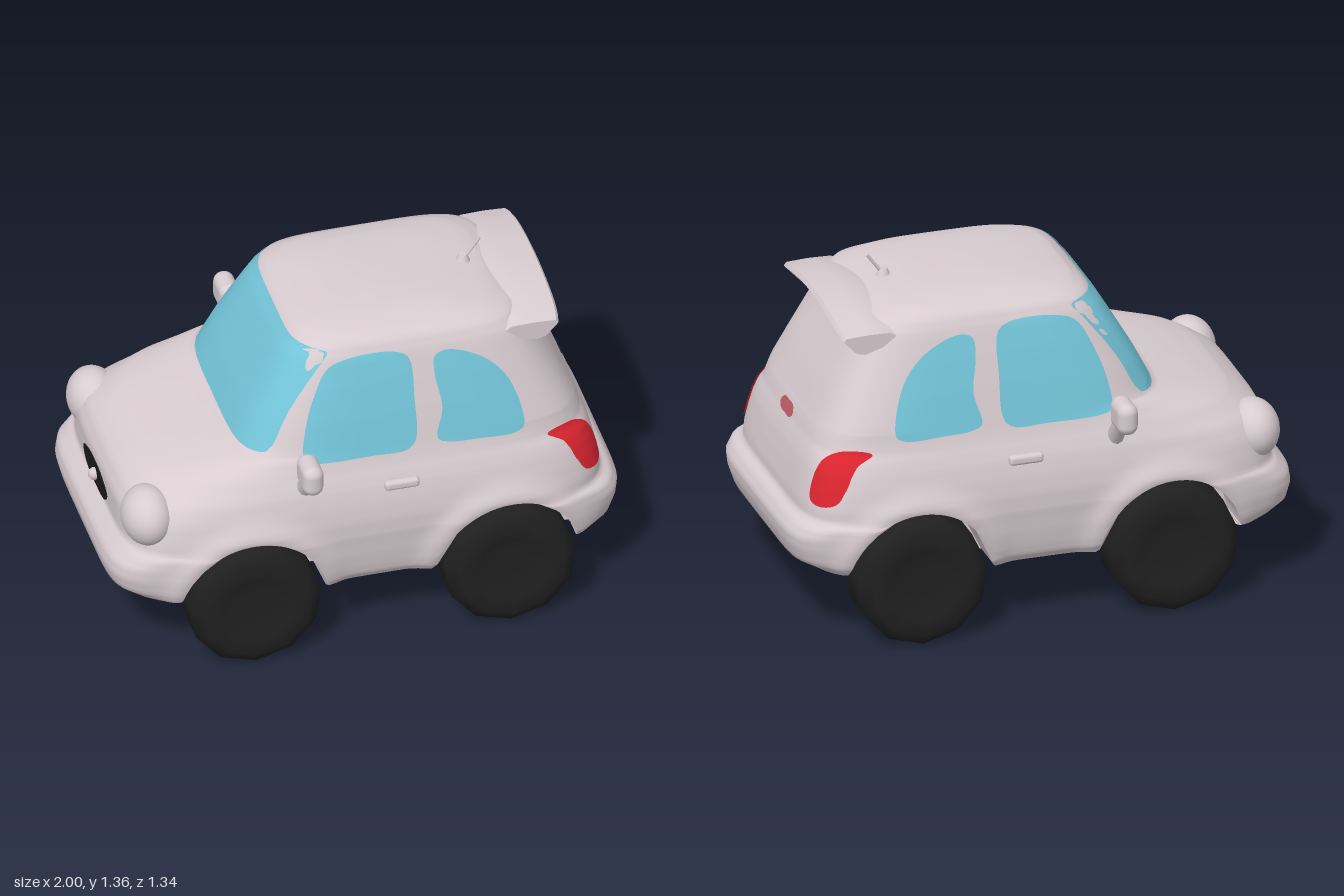
import * as THREE from 'three';
import { toCreasedNormals } from 'three/addons/utils/BufferGeometryUtils.js';
import { RoundedBoxGeometry } from 'three/addons/geometries/RoundedBoxGeometry.js';

const mat = (name, color, side = THREE.FrontSide) => new THREE.MeshStandardMaterial({ name, color, side });

// Horizontal slices of the shell: y, front x, rear x, half width, front and rear squareness
const SLICES = [
  [0.26, -0.80, 0.80, 0.51, 6, 6], [0.29, -0.93, 0.90, 0.53, 7, 7],
  [0.33, -0.985, 0.97, 0.54, 7, 7], [0.39, -1.0, 0.99, 0.55, 7, 7],
  [0.44, -0.99, 0.995, 0.555, 7, 7], [0.48, -0.95, 0.97, 0.56, 7, 7],
  [0.50, -0.93, 0.935, 0.56, 6, 6], [0.55, -0.93, 0.93, 0.56, 5.5, 6],
  [0.62, -0.93, 0.915, 0.55, 5, 6], [0.68, -0.90, 0.90, 0.535, 4.5, 6],
  [0.72, -0.85, 0.885, 0.52, 4, 6], [0.755, -0.79, 0.87, 0.505, 4, 5.5],
  [0.785, -0.69, 0.86, 0.495, 4, 5.5], [0.81, -0.58, 0.85, 0.488, 4.5, 5.5],
  [0.83, -0.475, 0.84, 0.483, 5, 5.5], [0.95, -0.415, 0.785, 0.455, 5, 5],
  [1.08, -0.34, 0.715, 0.42, 5, 5], [1.18, -0.28, 0.665, 0.39, 5, 5],
  [1.23, -0.24, 0.63, 0.365, 5, 4.5], [1.26, -0.19, 0.55, 0.32, 4, 4],
  [1.28, -0.06, 0.40, 0.24, 3.5, 3.5], [1.29, 0.08, 0.20, 0.10, 3, 3],
];
const WHEELS = [-0.47, 0.52], HUB_Y = 0.255, ARCH = 0.275;

function slice(y) {
  let i = 0;
  while (i < SLICES.length - 2 && y > SLICES[i + 1][0]) i++;
  const t = (y - SLICES[i][0]) / (SLICES[i + 1][0] - SLICES[i][0]);
  const [, xf, xr, w, nf, nr] = SLICES[i].map((v, k) => v + (SLICES[i + 1][k] - v) * t);
  return { c: (xf + xr) / 2, a: (xr - xf) / 2, w, nf, nr };
}
// Half width at (x, y), and end position at (z, y)
function widthAt(x, y) {
  const s = slice(y), q = (x - s.c) / s.a, n = q < 0 ? s.nf : s.nr;
  return s.w * Math.pow(Math.max(0, 1 - Math.abs(q) ** n), 1 / n);
}
function endAt(z, y, dir) {
  const s = slice(y), n = dir < 0 ? s.nf : s.nr;
  return s.c + dir * s.a * Math.pow(Math.max(0, 1 - Math.abs(z / s.w) ** n), 1 / n);
}
// Shell point for a direction (px, pz) on the unit square, lifted clear of the wheel arches
function shellPoint(px, pz, y) {
  let x, s, k;
  for (;; y += 0.002) {
    s = slice(y);
    const n = px < 0 ? s.nf : s.nr;
    k = Math.pow(Math.abs(px) ** n + Math.abs(pz) ** n, -1 / n);
    x = s.c + s.a * px * k;
    if (!WHEELS.some(w => Math.hypot(x - w, y - HUB_Y) < ARCH)) break;
  }
  let z = s.w * pz * k;
  for (const w of WHEELS) {
    const d = Math.hypot(x - w, y - HUB_Y);
    z *= 1 + 0.045 * Math.exp(-(((d - 0.295) / 0.05) ** 2));
  }
  return [x, y, z];
}

function gridGeometry(rows, closed = true) {
  const n = rows[0].length, index = [];
  for (let j = 0; j < rows.length - 1; j++)
    for (let i = 0; i < (closed ? n : n - 1); i++) {
      const a = j * n + i, b = j * n + (i + 1) % n;
      index.push(a, b, b + n, a, b + n, a + n);
    }
  const g = new THREE.BufferGeometry();
  g.setAttribute('position', new THREE.Float32BufferAttribute(rows.flat(2), 3));
  g.setIndex(index);
  g.computeVertexNormals();
  return g;
}

// Thin patch lying on the shell: rings shrinking from a smooth outline to its middle
function patchGeometry(outline, place) {
  const pts = new THREE.CatmullRomCurve3(outline.map(p => new THREE.Vector3(p[0], p[1], 0)), true).getPoints(64).slice(0, 64);
  const mid = pts.reduce((m, p) => m.add(p), new THREE.Vector3()).divideScalar(64);
  const rows = [];
  for (let r = 0; r <= 12; r++)
    rows.push(pts.map(p => { const q = p.clone().lerp(mid, r / 12); return place(q.x, q.y); }));
  return gridGeometry(rows);
}
const onSide = s => (x, y) => [x, y, s * (widthAt(x, y) + 0.007)];
const onEnd = d => (z, y) => [endAt(z, y, d) + d * 0.007, y, z];

export function createModel() {
  const car = new THREE.Group();
  car.name = 'car';
  const paint = mat('paint', 0xd8ccd0, THREE.DoubleSide);
  const glass = mat('glass', 0x74c6da, THREE.DoubleSide);
  const red = mat('tailLightRed', 0xdc2530, THREE.DoubleSide);
  const dullRed = mat('brakeLightRed', 0xc05c64, THREE.DoubleSide);
  const rubber = mat('rubber', 0x202020);
  const black = mat('grilleBlack', 0x1a1a1c, THREE.DoubleSide);
  const add = (name, geometry, material, x = 0, y = 0, z = 0) => {
    const m = new THREE.Mesh(geometry, material);
    m.name = name;
    m.position.set(x, y, z);
    car.add(m);
    return m;
  };

  // Shell
  const dirs = [], L = 64, E = 28;
  for (let i = 0; i < L; i++) dirs.push([-1 + 2 * i / L, 1]);
  for (let i = 0; i < E; i++) dirs.push([1, 1 - 2 * i / E]);
  for (let i = 0; i < L; i++) dirs.push([1 - 2 * i / L, -1]);
  for (let i = 0; i < E; i++) dirs.push([-1, -1 + 2 * i / E]);
  const rows = [];
  SLICES.forEach(([y], j) => {
    const next = SLICES[j + 1]?.[0];
    for (let k = 0; k < (next ? 3 : 1); k++)
      rows.push(dirs.map(d => shellPoint(d[0], d[1], next ? y + (next - y) * k / 3 : y)));
  });
  rows.push(dirs.map(() => [0.14, 1.291, 0]));
  add('bodyShell', gridGeometry(rows), paint);

  // Floor, inner walls and wheel wells
  const clampZ = z => Math.max(-0.37, Math.min(0.37, z));
  const under = [
    rows[0].map(p => [p[0], 0.26, 0]),
    rows[0].map(p => [p[0], 0.26, clampZ(p[2])]),
    rows[0].map(p => [p[0], p[1], clampZ(p[2])]),
    rows[0],
  ];
  add('underbody', toCreasedNormals(gridGeometry(under), 0.6), paint);

  // Wheels and axles
  const tyre = new THREE.LatheGeometry([[0, -0.1], [0.1, -0.09], [0.14, -0.112], [0.21, -0.112], [0.255, -0.085],
    [0.255, 0.085], [0.21, 0.112], [0.14, 0.114], [0.1, 0.092], [0, 0.1]].map(p => new THREE.Vector2(...p)), 11);
  tyre.rotateX(Math.PI / 2);
  const axle = new THREE.CylinderGeometry(0.06, 0.06, 0.8, 16).rotateX(Math.PI / 2);
  WHEELS.forEach((x, i) => {
    const end = i ? 'rear' : 'front';
    add(end + 'Axle', axle, paint, x, 0.25, 0);
    for (const s of [1, -1]) add(end + 'Wheel', tyre, rubber, x, HUB_Y, s * 0.4925).rotation.y = s > 0 ? 0 : Math.PI;
  });

  // Windscreen
  add('windscreen', patchGeometry([[-0.42, 0.845], [-0.4, 0.835], [-0.2, 0.832], [0, 0.832], [0.2, 0.832], [0.4, 0.835],
    [0.42, 0.845], [0.4, 1.0], [0.365, 1.2], [0.35, 1.218], [0.2, 1.225], [0, 1.226], [-0.2, 1.225], [-0.35, 1.218],
    [-0.365, 1.2], [-0.4, 1.0]], onEnd(-1)), glass);

  const frontWindow = [[-0.255, 0.82], [-0.245, 0.93], [-0.2, 1.06], [-0.14, 1.16], [-0.06, 1.19], [0.12, 1.19],
    [0.17, 1.16], [0.18, 1.0], [0.175, 0.84], [0.14, 0.805], [0, 0.802], [-0.22, 0.805]];
  const rearWindow = [[0.26, 0.83], [0.285, 0.95], [0.265, 1.08], [0.27, 1.15], [0.32, 1.168], [0.45, 1.12],
    [0.54, 1.03], [0.59, 0.9], [0.595, 0.82], [0.56, 0.8], [0.42, 0.803], [0.3, 0.81]];
  const stalk = new THREE.CylinderGeometry(0.03, 0.035, 0.12, 10);
  for (const s of [1, -1]) {
    // Side glass, handle and mirror
    add('frontSideWindow', patchGeometry(frontWindow, onSide(s)), glass);
    add('rearSideWindow', patchGeometry(rearWindow, onSide(s)), glass);
    add('doorHandle', new RoundedBoxGeometry(0.135, 0.04, 0.035, 3, 0.015), paint, 0.105, 0.69, s * 0.545);
    add('mirrorStalk', stalk, paint, -0.26, 0.755, s * 0.535).rotation.x = s * 0.65;
    add('mirror', new RoundedBoxGeometry(0.08, 0.125, 0.145, 4, 0.038), paint, -0.265, 0.838, s * 0.597);
    // Lamps
    add('headlight', new THREE.SphereGeometry(1, 28, 20), paint, -0.84, 0.615, s * 0.385).scale.set(0.1, 0.115, 0.125);
    add('tailLight', patchGeometry([[0.4, 0.74], [0.44, 0.77], [0.475, 0.765], [0.485, 0.72], [0.498, 0.63], [0.49, 0.575],
      [0.45, 0.56], [0.4, 0.575], [0.385, 0.65]].map(p => [p[0] * s, p[1]]), onEnd(1)), red);
  }

  // Small rear and front details
  add('centreBrakeLight', patchGeometry([[-0.07, 0.775], [-0.05, 0.8], [0, 0.803], [0.05, 0.8], [0.07, 0.775],
    [0.05, 0.755], [0, 0.753], [-0.05, 0.755]], onEnd(1)), dullRed);
  const plate = [[-0.17, 0.56], [0, 0.53], [0.17, 0.56], [0.175, 0.62], [0.12, 0.643], [0, 0.637], [-0.12, 0.643], [-0.175, 0.62]];
  add('numberPlateMount', patchGeometry(plate, onEnd(1)), paint);
  add('grille', patchGeometry([[-0.17, 0.565], [-0.1, 0.6], [0, 0.61], [0.1, 0.6], [0.17, 0.565], [0.13, 0.52],
    [0, 0.505], [-0.13, 0.52]], onEnd(-1)), black);
  add('grilleStud', new THREE.SphereGeometry(0.025, 12, 8), paint, -0.94, 0.55, 0);

  // Roof spoiler: one aerofoil section swept across and drooping to the tips
  const foil = [[0.54, 1.235], [0.57, 1.252], [0.67, 1.255], [0.765, 1.25], [0.775, 1.235], [0.72, 1.175], [0.68, 1.165], [0.6, 1.19]];
  const wing = [];
  for (let i = 0; i <= 20; i++) {
    const t = -1 + i / 10, e = 1 - 0.12 * t ** 8;
    wing.push(foil.map(([x, y]) => [0.67 + (x - 0.67) * e, 1.21 + (y - 1.21) * e - 0.05 * t * t, 0.365 * t]));
  }
  wing.unshift(wing[0].map(p => [0.67, 1.16, p[2]]));
  wing.push(wing.at(-1).map(p => [0.67, 1.16, p[2]]));
  wing.reverse();
  add('spoiler', toCreasedNormals(gridGeometry(wing), 0.7), paint);

  // Aerial
  add('aerialBase', new THREE.CylinderGeometry(0.015, 0.038, 0.05, 12), paint, 0.49, 1.268, 0);
  add('aerialRod', new THREE.CylinderGeometry(0.006, 0.006, 0.11, 8), paint, 0.522, 1.312, 0).rotation.z = -0.62;
  return car;
}
